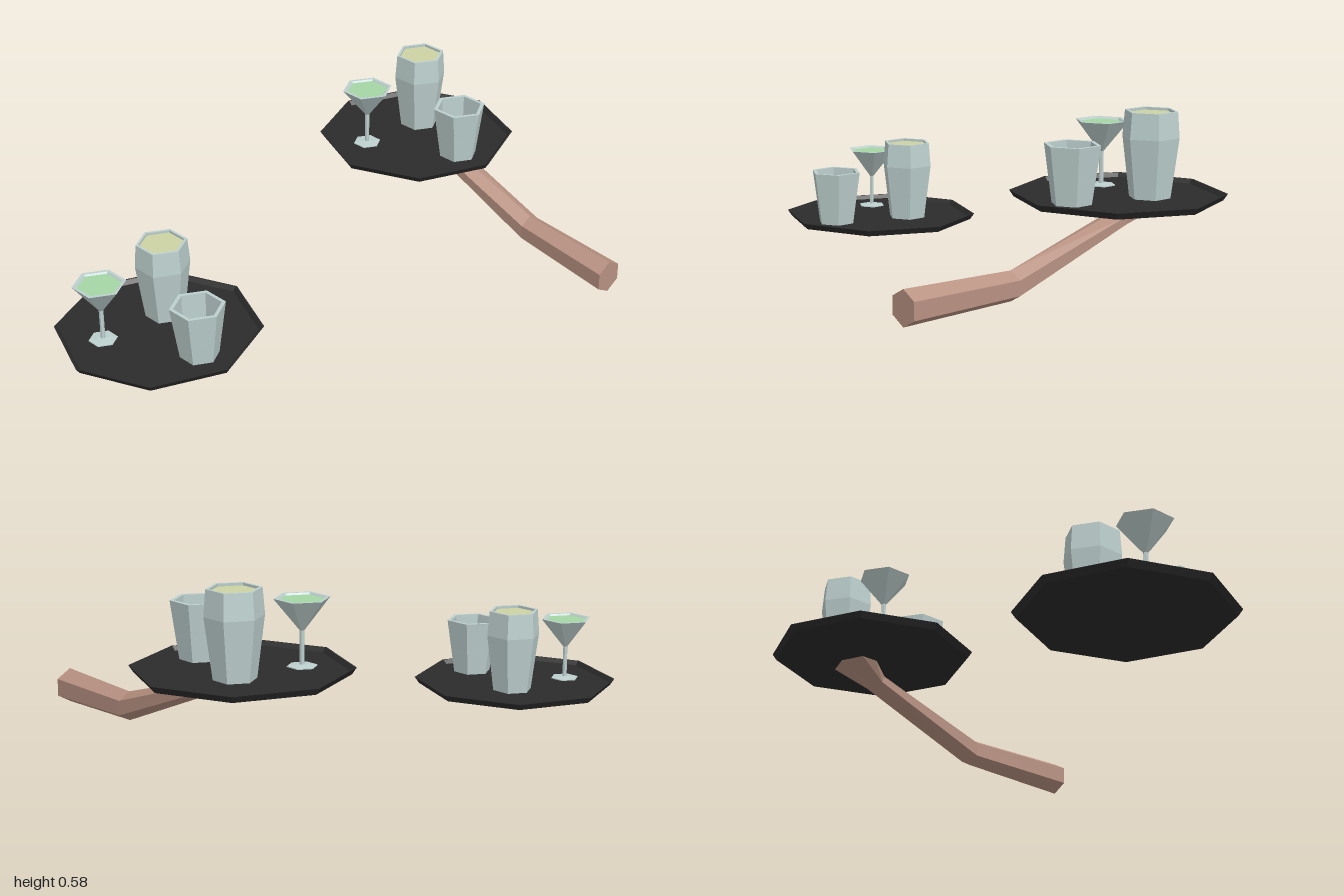
import * as THREE from 'three';

const mat = (color, side = THREE.FrontSide) =>
  new THREE.MeshStandardMaterial({ color, side, flatShading: true });
const MATS = {
  tray: mat(0x2b2b2b),
  glass: mat(0xbdd0ce, THREE.DoubleSide),
  juice: mat(0xcdd2a4),
  cocktail: mat(0xa6d6a6),
  cola: mat(0x2a241e),
  arm: mat(0xb89282),
};

// Faceted solid of revolution from [radius, height] pairs
function turned(name, points, sides, material) {
  const geo = new THREE.LatheGeometry(points.map(([r, y]) => new THREE.Vector2(r, y)), sides);
  const mesh = new THREE.Mesh(geo, material);
  mesh.name = name;
  return mesh;
}

// Flat surface of a drink
const drink = (name, r, y, material) => turned(name, [[r, y], [0, y]], 6, material);

function glass(name, x, z, ...parts) {
  const g = new THREE.Group();
  g.name = name;
  g.position.set(x, 0, z);
  g.add(...parts);
  return g;
}

// Octagonal tray with three glasses, relative to the tray centre
function makeServing(name) {
  const g = new THREE.Group();
  g.name = name;
  g.add(
    turned('tray', [[0, 0.008], [0.345, 0.008], [0.36, 0.03], [0.354, 0.03], [0.342, 0.016], [0, 0.016]], 8, MATS.tray),
    glass('tumbler', 0, 0.21,
      turned('tumblerGlass', [[0, 0.017], [0.068, 0.017], [0.096, 0.212], [0.082, 0.212], [0.08, 0.1]], 6, MATS.glass),
      drink('darkDrink', 0.08, 0.105, MATS.cola)),
    glass('tallGlass', 0.083, -0.064,
      turned('tallGlassBody', [[0, 0.017], [0.07, 0.017], [0.096, 0.218], [0.089, 0.305], [0.079, 0.305], [0.08, 0.28]], 6, MATS.glass),
      drink('yellowDrink', 0.08, 0.296, MATS.juice)),
    glass('cocktailGlass', -0.172, -0.09,
      turned('cocktailGlassBody', [[0, 0.017], [0.05, 0.017], [0.05, 0.02], [0.008, 0.024], [0.008, 0.135],
        [0.092, 0.24], [0.08, 0.24], [0.066, 0.222]], 6, MATS.glass),
      drink('greenDrink', 0.076, 0.234, MATS.cocktail)));
  return g;
}

// Bent six-sided arm, flaring into a flat support under the tray
function makeArm() {
  // Cross-sections: centre x, y, z, then half-sizes in x, y and the lean in z
  const sections = [
    [0.657, 0.06, 0.64, 0.061, 0.06, 0],
    [0.697, 0.075, 0.24, 0.05, 0.05, 0],
    [0.715, 0.234, -0.2, 0.05, 0.024, 0.01],
    [0.725, 0.284, -0.295, 0.098, 0, 0.065],
  ];
  const corner = (i, j) => {
    const [x, y, z, rx, ry, rz] = sections[i];
    const a = Math.PI / 2 + (j * Math.PI) / 3;
    return [x + rx * Math.cos(a), y + ry * Math.sin(a), z + rz * Math.sin(a)];
  };
  const centre = (i) => sections[i].slice(0, 3);
  const last = sections.length - 1;
  const pos = [];
  for (let j = 0; j < 6; j++) {
    for (let i = 0; i < last; i++) {
      const a = corner(i, j), b = corner(i, j + 1), c = corner(i + 1, j + 1), d = corner(i + 1, j);
      pos.push(...a, ...d, ...b, ...b, ...d, ...c);
    }
    // End caps
    pos.push(...centre(0), ...corner(0, j), ...corner(0, j + 1));
    pos.push(...centre(last), ...corner(last, j + 1), ...corner(last, j));
  }
  const geo = new THREE.BufferGeometry();
  geo.setAttribute('position', new THREE.Float32BufferAttribute(pos, 3));
  geo.computeVertexNormals();
  const mesh = new THREE.Mesh(geo, MATS.arm);
  mesh.name = 'arm';
  return mesh;
}

export function createModel() {
  const model = new THREE.Group();
  model.name = 'servingTrays';
  const low = makeServing('lowTray');
  low.position.set(-0.64, 0, -0.28);
  const held = makeServing('heldTray');
  held.position.set(0.64, 0.272, -0.28);
  model.add(low, held, makeArm());
  return model;
}
